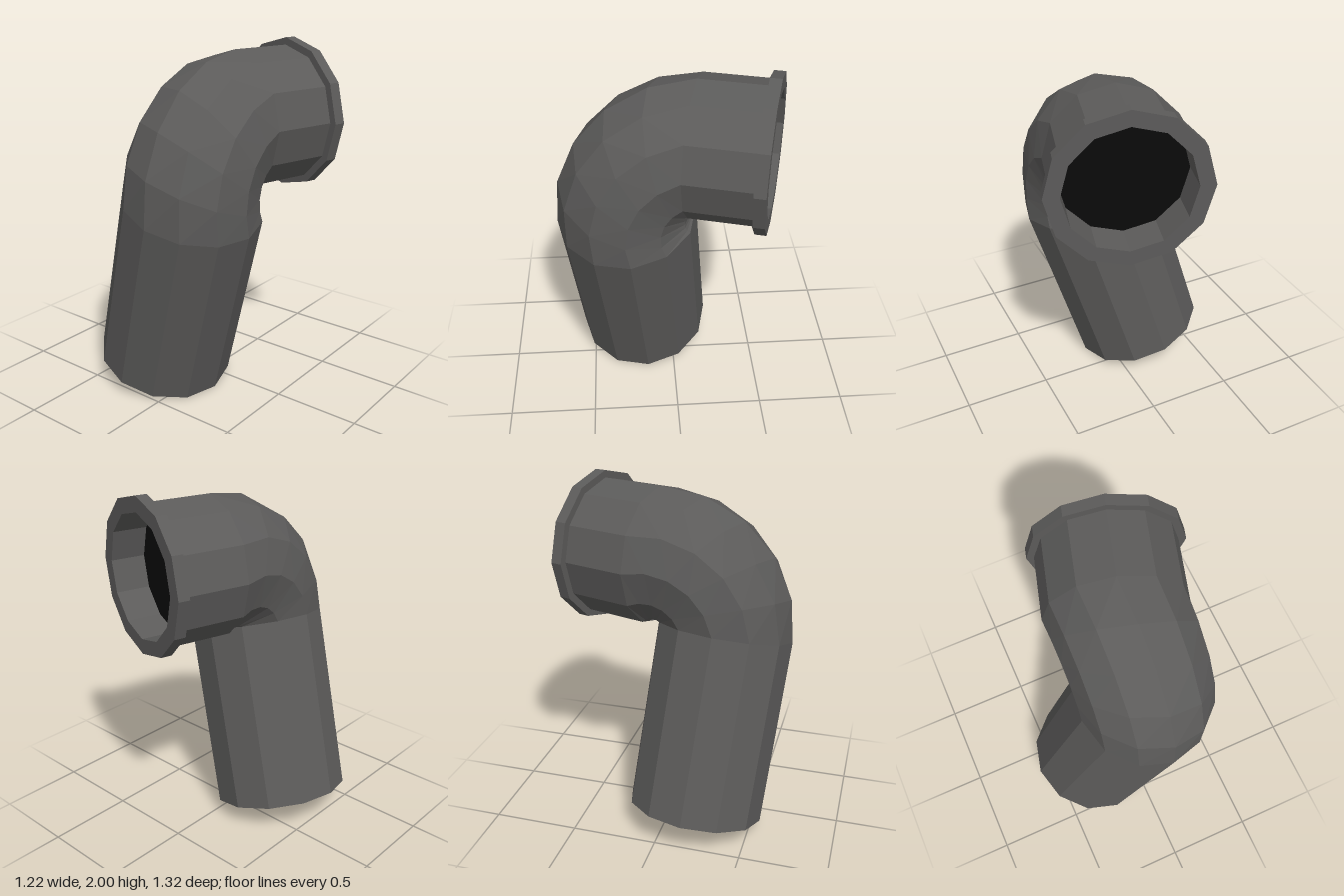
import * as THREE from 'three';

const SIDES = 12;
const SKEW = THREE.MathUtils.degToRad(16);   // constant sideways lean of every ring
const START = -5, END = 90, STEPS = 5;       // sweep of the elbow in degrees

// Ring frame at an elbow angle, moved along its own axis by `shift`
function ring(deg, radius, shift = 0) {
  const a = THREE.MathUtils.degToRad(deg);
  const up = new THREE.Vector3(0, Math.sin(a), Math.cos(a));
  const along = new THREE.Vector3(0, Math.cos(a), -Math.sin(a));
  const x = new THREE.Vector3(1, 0, 0);
  const axis = along.clone().multiplyScalar(Math.cos(SKEW)).addScaledVector(x, Math.sin(SKEW));
  const side = x.clone().multiplyScalar(Math.cos(SKEW)).addScaledVector(along, -Math.sin(SKEW));
  const centre = new THREE.Vector3(0.07, 1.18, -0.12)
    .addScaledVector(up, 0.385).addScaledVector(axis, shift);
  const points = [];
  for (let j = 0; j < SIDES; j++) {
    const t = (j / SIDES) * Math.PI * 2;
    points.push(centre.clone()
      .addScaledVector(side, radius * Math.cos(t))
      .addScaledVector(up, radius * Math.sin(t)));
  }
  return points;
}

// Skin a list of rings with quads
function loft(name, rings, material) {
  const positions = rings.flat().flatMap(p => [p.x, p.y, p.z]);
  const index = [];
  for (let i = 0; i < rings.length - 1; i++) {
    for (let j = 0; j < SIDES; j++) {
      const k = (j + 1) % SIDES;
      const a = i * SIDES + j, b = i * SIDES + k;
      const c = a + SIDES, d = b + SIDES;
      index.push(a, c, b, b, c, d);
    }
  }
  const geometry = new THREE.BufferGeometry();
  geometry.setAttribute('position', new THREE.Float32BufferAttribute(positions, 3));
  geometry.setIndex(index);
  geometry.computeVertexNormals();
  const mesh = new THREE.Mesh(geometry, material);
  mesh.name = name;
  return mesh;
}

export function createModel() {
  const group = new THREE.Group();
  group.name = 'pipeElbow';
  const metal = new THREE.MeshStandardMaterial({ color: 0x5c5b5a, flatShading: true });
  const dark = new THREE.MeshStandardMaterial({ color: 0x0a0a0a, flatShading: true, side: THREE.DoubleSide });

  const outer = 0.395, inner = 0.35;
  const low = -1.08;                         // lower mouth, measured from the elbow start
  const collarStart = 0.37, collarEnd = 0.435;

  // Lower pipe: hollow mouth, rim and outer wall
  group.add(loft('lowerPipe', [
    ring(START, inner, -0.1), ring(START, inner, low),
    ring(START, outer, low), ring(START, outer),
  ], metal));

  // Elbow bend
  const bend = [];
  for (let i = 0; i <= STEPS; i++) bend.push(ring(START + (END - START) * i / STEPS, outer));
  group.add(loft('elbow', bend, metal));

  // Upper pipe
  group.add(loft('upperPipe', [ring(END, outer), ring(END, outer, collarStart)], metal));

  // Collar: shoulder, band, front face and recessed bore
  group.add(loft('collar', [
    ring(END, outer, collarStart), ring(END, 0.437, collarStart),
    ring(END, 0.437, collarEnd), ring(END, inner, collarEnd),
    ring(END, inner, collarEnd - 0.2),
  ], metal));

  // Dark ends inside both openings
  group.add(loft('collarBoreEnd', [ring(END, inner, collarEnd - 0.2), ring(END, 0, collarEnd - 0.2)], dark));
  group.add(loft('lowerBoreEnd', [ring(START, inner, -0.1), ring(START, 0, -0.1)], dark));

  return group;
}
